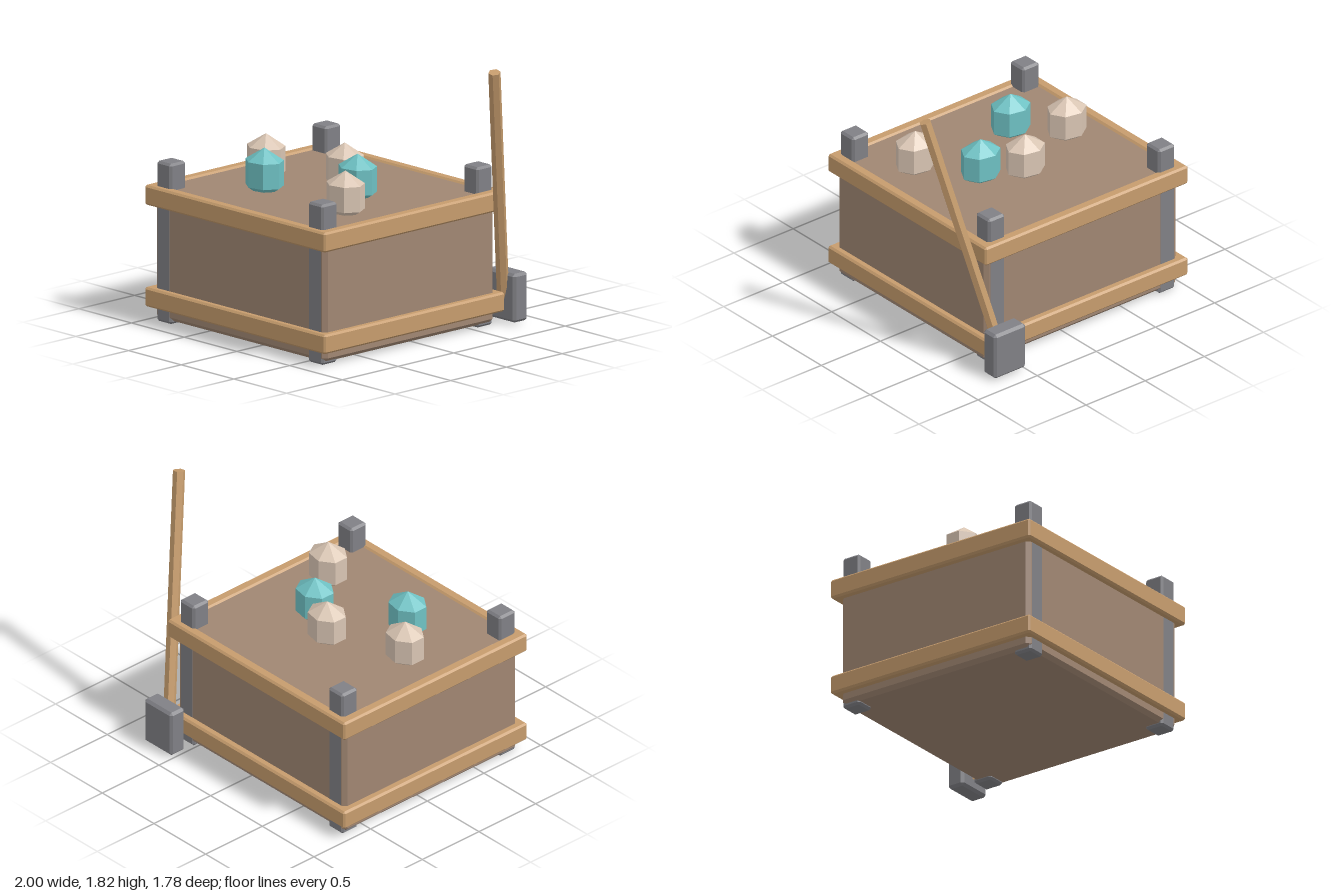
import * as THREE from 'three';
import { ConvexGeometry } from 'three/addons/geometries/ConvexGeometry.js';

const material = (name, color) => {
  const m = new THREE.MeshStandardMaterial({ color });
  m.name = name;
  return m;
};

// Box with chamfered edges, given by its [min, max] along each axis
function chamferBox(x, y, z, c) {
  const half = [x, y, z].map(([a, b]) => (b - a) / 2);
  const points = [];
  for (const sx of [-1, 1]) for (const sy of [-1, 1]) for (const sz of [-1, 1]) {
    for (let axis = 0; axis < 3; axis++) {
      const p = half.map((h, i) => (i === axis ? h : h - c));
      points.push(new THREE.Vector3(sx * p[0], sy * p[1], sz * p[2]));
    }
  }
  const geometry = new ConvexGeometry(points);
  geometry.translate((x[0] + x[1]) / 2, (y[0] + y[1]) / 2, (z[0] + z[1]) / 2);
  return geometry;
}

function faceted(geometry) {
  const flat = geometry.toNonIndexed();
  flat.computeVertexNormals();
  return flat;
}

export function createModel() {
  const model = new THREE.Group();
  model.name = 'crate';
  const board = material('brown board', 0xa08672);
  const wood = material('light wood', 0xc69c6d);
  const metal = material('grey metal', 0x808085);
  const beige = material('beige stone', 0xd9c5b3);
  const teal = material('teal stone', 0x6fc2c4);

  const add = (name, geometry, mat, parent = model) => {
    const mesh = new THREE.Mesh(geometry, mat);
    mesh.name = name;
    parent.add(mesh);
    return mesh;
  };

  // Crate body
  add('body', chamferBox([-0.95, 0.67], [0.02, 0.9], [-0.685, 0.845], 0.027), board);

  // Two rings of wooden rails
  for (const [label, y] of [['lower', [0.093, 0.223]], ['upper', [0.778, 0.912]]]) {
    const ring = new THREE.Group();
    ring.name = label + 'Rails';
    model.add(ring);
    add('frontRail', chamferBox([-1, 0.715], y, [0.812, 0.888], 0.013), wood, ring);
    add('backRail', chamferBox([-1, 0.715], y, [-0.733, -0.657], 0.013), wood, ring);
    add('rightRail', chamferBox([-1, -0.924], y, [-0.72, 0.875], 0.013), wood, ring);
    add('leftRail', chamferBox([0.639, 0.715], y, [-0.72, 0.875], 0.013), wood, ring);
  }

  // Corner posts
  for (const x of [[-0.93, -0.79], [0.508, 0.648]]) {
    for (const z of [[-0.686, -0.546], [0.706, 0.846]]) {
      add('cornerPost', chamferBox(x, [0, 1.08], z, 0.015), metal);
    }
  }

  // Faceted stones on the lid
  const stone = faceted(new THREE.SphereGeometry(1, 7, 3).scale(0.16, 0.17, 0.137));
  const stones = [
    [-0.665, 0.11, beige], [-0.405, 0.37, teal], [-0.14, -0.1, beige],
    [0.125, 0.035, teal], [0.385, 0.39, beige],
  ];
  for (const [x, z, mat] of stones) {
    // Mirrored along x so that a corner points to the +x side
    add('stone', stone, mat).position.set(x, 1.013, z);
  }
  stone.rotateY(Math.PI);
  stone.scale(1, 1, 1);

  // Hammer leaning on the back corner
  const hammer = new THREE.Group();
  hammer.name = 'hammer';
  model.add(hammer);
  add('hammerHead', chamferBox([0.5, 0.767], [0.015, 0.343], [-0.892, -0.765], 0.018), metal, hammer);
  const top = new THREE.Vector3(0.957, 1.81, -0.406);
  const foot = new THREE.Vector3(0.617, 0.05, -0.811);
  const axis = top.clone().sub(foot);
  const shaft = faceted(new THREE.CylinderGeometry(0.041, 0.041, axis.length(), 6).rotateY(Math.PI / 6));
  const handle = add('hammerHandle', shaft, wood, hammer);
  handle.position.copy(top).add(foot).multiplyScalar(0.5);
  handle.quaternion.setFromUnitVectors(new THREE.Vector3(0, 1, 0), axis.normalize());

  return model;
}
